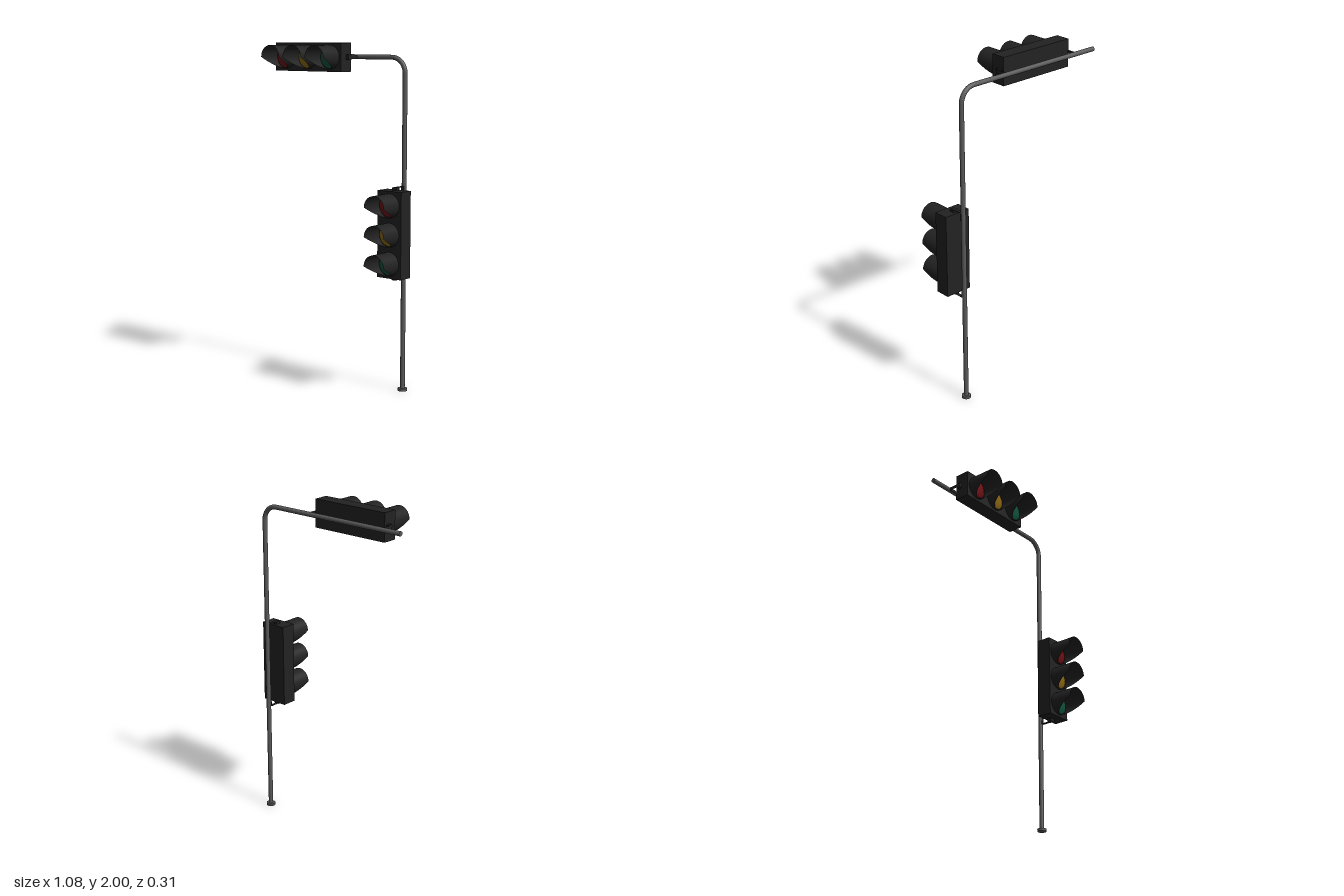
import * as THREE from 'three';

const mat = (name, color, side = THREE.FrontSide) => {
  const m = new THREE.MeshStandardMaterial({ color, side });
  m.name = name;
  return m;
};

export function createModel() {
  const steel = mat('pole grey', 0x5a5a5a);
  const black = mat('housing black', 0x222222, THREE.DoubleSide);
  const lensMats = [mat('lens red', 0x701014), mat('lens amber', 0x8a6612), mat('lens green', 0x10523a)];

  const root = new THREE.Group();
  root.name = 'trafficSignal';

  function add(parent, name, geo, material, x = 0, y = 0, z = 0) {
    const mesh = new THREE.Mesh(geo, material);
    mesh.name = name;
    mesh.position.set(x, y, z);
    parent.add(mesh);
    return mesh;
  }

  // Pole, rounded corner and arm
  const PX = 0.455, PZ = -0.128, R = 0.0138, BEND = 0.09, ARM_Y = 1.92;
  const cornerX = PX - BEND, cornerY = ARM_Y - BEND, armEnd = -0.54;
  add(root, 'base', new THREE.CylinderGeometry(0.027, 0.027, 0.015, 20), steel, PX, 0.0075, PZ);
  add(root, 'pole', new THREE.CylinderGeometry(R, R, cornerY, 20), steel, PX, cornerY / 2, PZ);
  add(root, 'poleBend', new THREE.TorusGeometry(BEND, R, 20, 16, Math.PI / 2), steel, cornerX, cornerY, PZ);
  const arm = add(root, 'arm', new THREE.CylinderGeometry(R, R, cornerX - armEnd, 20), steel,
    (cornerX + armEnd) / 2, ARM_Y, PZ);
  arm.rotation.z = Math.PI / 2;

  // Visor: open tube whose lower half is cut back at a slant
  const VR = 0.069, FRONT = 0.143, BACK = 0.012;
  const visorGeo = new THREE.CylinderGeometry(VR, VR, FRONT, 40, 1, true);
  visorGeo.rotateX(Math.PI / 2).translate(0, 0, FRONT / 2);
  const p = visorGeo.attributes.position;
  for (let i = 0; i < p.count; i++) {
    if (p.getZ(i) > 0.01 && p.getY(i) < 0) {
      p.setZ(i, THREE.MathUtils.lerp(FRONT, BACK, -p.getY(i) / VR));
    }
  }

  // Lens: shallow dome facing forward
  const lensGeo = new THREE.SphereGeometry(0.065, 32, 8, 0, Math.PI * 2, 0, Math.PI / 2);
  lensGeo.rotateX(Math.PI / 2).scale(1, 1, 0.25);

  // Three-lamp head, upright by default; roll turns it on its side
  function signalHead(name, x, y, roll) {
    const head = new THREE.Group();
    head.name = name;
    head.position.set(x, y, 0);
    head.rotation.z = roll;
    root.add(head);
    add(head, 'housing', new THREE.BoxGeometry(0.165, 0.497, 0.09), black, 0, 0, -0.033);

    lensMats.forEach((lensMat, i) => {
      const lamp = new THREE.Group();
      lamp.name = 'lamp' + (i + 1);
      lamp.position.set(0, (1 - i) * 0.166, 0.012);
      lamp.rotation.z = -roll;
      head.add(lamp);
      add(lamp, 'lens', lensGeo, lensMat);
      add(lamp, 'visor', visorGeo, black);
    });

    // Bent strap brackets at both ends
    for (const s of [1, -1]) {
      add(head, 'bracketKnob', new THREE.BoxGeometry(0.03, 0.016, 0.027), black, 0, s * 0.2565, -0.0485);
      add(head, 'bracketStrap', new THREE.BoxGeometry(0.018, 0.003, 0.08), black, 0, s * 0.2645, -0.075);
      add(head, 'bracketFoot', new THREE.BoxGeometry(0.018, 0.05, 0.003), black, 0, s * 0.241, -0.1135);
    }
  }
  signalHead('poleSignal', PX, 0.931, 0);
  signalHead('armSignal', -0.142, 1.9175, Math.PI / 2);

  return root;
}
